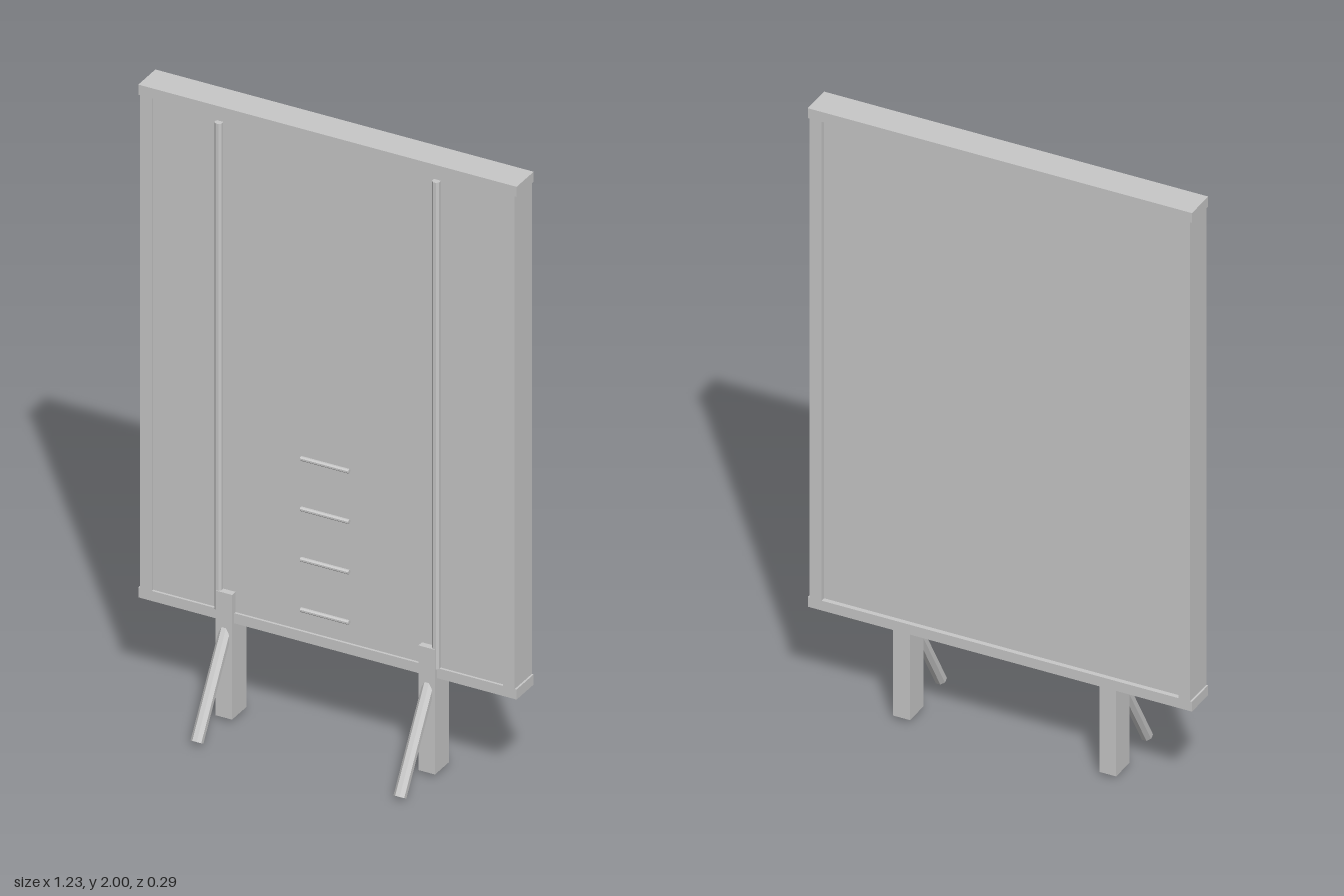
import * as THREE from 'three';

export function createModel() {
  const model = new THREE.Group();
  model.name = 'standingPanel';
  const grey = new THREE.MeshStandardMaterial({ color: 0xc8c8c8, flatShading: true });
  grey.name = 'grey';

  function add(name, geometry, x, y, z) {
    const mesh = new THREE.Mesh(geometry, grey);
    mesh.name = name;
    mesh.position.set(x, y, z);
    model.add(mesh);
    return mesh;
  }
  // box given by its lower and upper limits on each axis
  function box(name, [x0, x1], [y0, y1], [z0, z1]) {
    return add(name, new THREE.BoxGeometry(x1 - x0, y1 - y0, z1 - z0),
      (x0 + x1) / 2, (y0 + y1) / 2, (z0 + z1) / 2);
  }
  // faceted rod between two points
  function rod(name, a, b, radius, sides) {
    const axis = b.clone().sub(a);
    const geometry = new THREE.CylinderGeometry(radius, radius, axis.length(), sides);
    geometry.rotateY(Math.PI / sides);
    const mid = a.clone().add(b).multiplyScalar(0.5);
    const mesh = add(name, geometry, mid.x, mid.y, mid.z);
    mesh.quaternion.setFromUnitVectors(new THREE.Vector3(0, 1, 0), axis.normalize());
  }
  const v = (x, y, z) => new THREE.Vector3(x, y, z);

  const depth = [-0.144, -0.043];

  // recessed board and the wider top and bottom bars
  box('panel', [-0.58, 0.58], [0.345, 1.98], [-0.129, -0.051]);
  box('topBar', [-0.617, 0.617], [1.967, 2], depth);
  box('bottomBar', [-0.617, 0.617], [0.322, 0.355], depth);

  for (const s of [-1, 1]) {
    const side = s > 0 ? 'left' : 'right';
    // frame upright
    box(side + 'Stile', s > 0 ? [0.573, 0.611] : [-0.611, -0.573], [0.355, 1.967], depth);
    // long rail on the front of the board
    rod(side + 'Rail', v(s * 0.355, 0.356, -0.044), v(s * 0.355, 1.948, -0.044), 0.0125, 8);
    // square post and the slanted brace leaning out of it
    box(side + 'Post', s > 0 ? [0.304, 0.358] : [-0.358, -0.304], [0.013, 0.421], [-0.114, -0.03]);
    rod(side + 'Brace', v(s * 0.331, 0.01, 0.128), v(s * 0.331, 0.306, -0.05), 0.019, 8);
  }

  // short rungs in the middle
  for (let i = 0; i < 4; i++) {
    const y = 0.435 + i * 0.165;
    rod('rung', v(-0.079, y, -0.029), v(0.079, y, -0.029), 0.007, 8);
  }
  return model;
}
